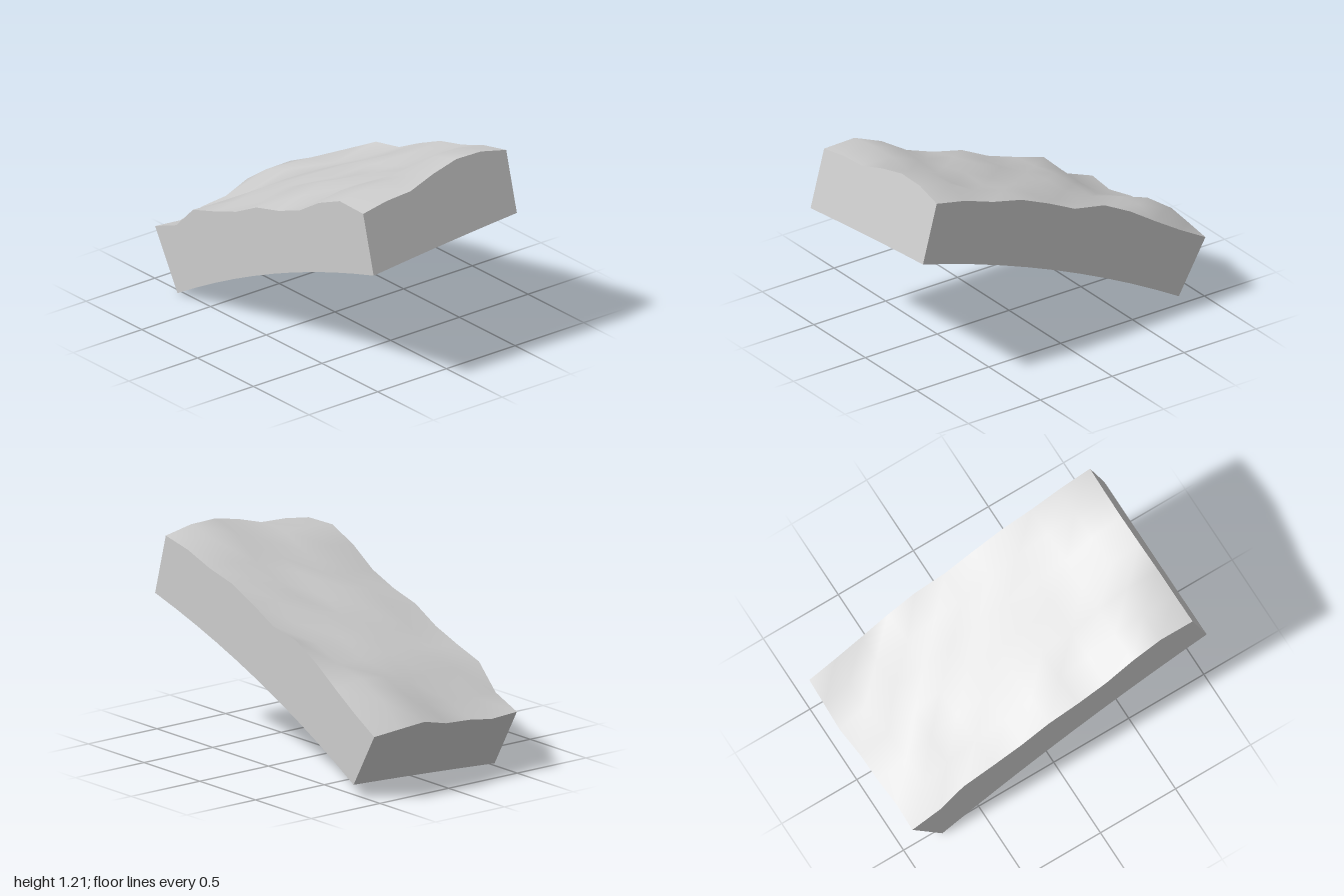
import * as THREE from 'three';

// The block bends around an axis parallel to z
const CX = 2.89, CY = -6.32, R = 7.3, HALF = 0.53;
const NX = 10, NZ = 6;

// Ground thickness in hundredths: rows run back to front, columns right to left
const relief = [
  [37, 37, 38.5, 41, 42, 37.5, 39, 40, 38, 38.5, 37],
  [40, 44, 43, 37.5, 37, 37, 39, 40, 39, 43, 42],
  [43, 45, 42, 38.5, 39, 40, 38.5, 37, 37, 44, 43.6],
  [39, 37, 37.5, 40, 40, 37, 37, 39, 38, 39, 41],
  [39, 36, 39, 41, 39, 40, 40.5, 37, 40, 42, 37],
  [37, 36, 41, 40, 37, 39, 38.5, 36, 42, 43, 37.5],
  [40, 37, 43.2, 39.8, 37.7, 38.9, 36.1, 36, 40.7, 42.5, 36.3],
];

// Point on the underside (top = 0) or on the terrain (top = 1)
function point(i, j, top) {
  const angle = THREE.MathUtils.degToRad(30 - 15 * i / NX);
  const s = 2 * j / NZ - 1;
  const rise = 0.041 * (1 - s) + 0.004 * (1 - s * s);
  const r = R + rise + top * relief[j][i] / 100;
  return [CX - r * Math.sin(angle), CY + r * Math.cos(angle), s * HALF];
}

// Surface through a grid of points, facing along (b direction) x (a direction)
function patch(name, na, nb, fn, material) {
  const pos = [], index = [];
  for (let b = 0; b <= nb; b++) for (let a = 0; a <= na; a++) pos.push(...fn(a, b));
  for (let b = 0; b < nb; b++) {
    for (let a = 0; a < na; a++) {
      const p = b * (na + 1) + a, q = p + na + 1;
      index.push(p, q, p + 1, p + 1, q, q + 1);
    }
  }
  const g = new THREE.BufferGeometry();
  g.setAttribute('position', new THREE.Float32BufferAttribute(pos, 3));
  g.setIndex(index);
  g.computeVertexNormals();
  const mesh = new THREE.Mesh(g, material);
  mesh.name = name;
  return mesh;
}

export function createModel() {
  const stone = new THREE.MeshStandardMaterial({ color: 0xcccccc });
  stone.name = 'pale grey stone';
  const group = new THREE.Group();
  group.name = 'terrainBlock';
  group.add(
    // Rolling ground and curved underside
    patch('terrain', NX, NZ, (a, b) => point(a, b, 1), stone),
    patch('underside', NX, NZ, (a, b) => point(a, NZ - b, 0), stone),
    // Cut walls
    patch('frontWall', NX, 1, (a, b) => point(a, NZ, 1 - b), stone),
    patch('backWall', NX, 1, (a, b) => point(a, 0, b), stone),
    patch('leftWall', NZ, 1, (a, b) => point(NX, a, b), stone),
    patch('rightWall', NZ, 1, (a, b) => point(0, a, 1 - b), stone),
  );
  return group;
}
